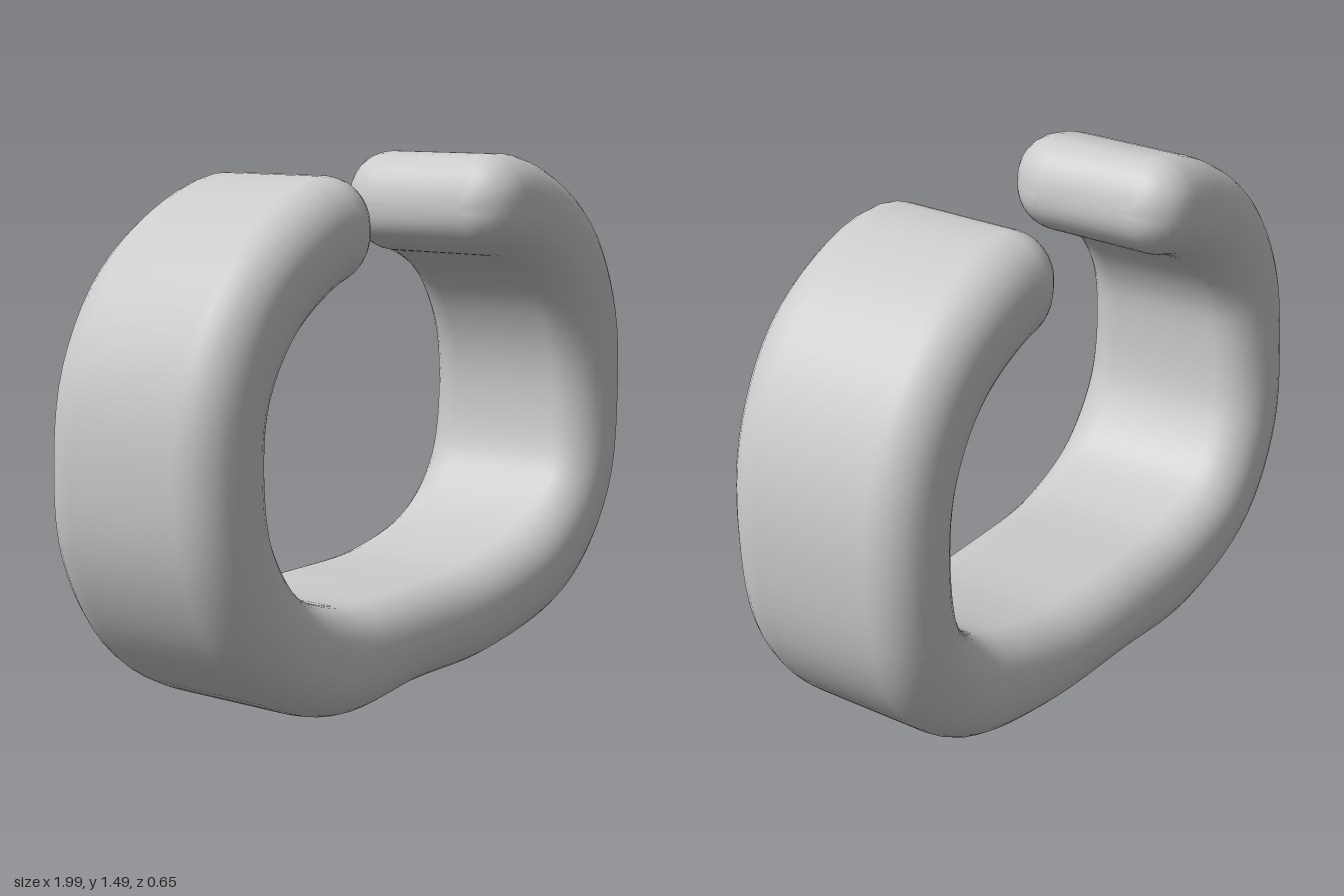
import * as THREE from 'three';

// Path stations along the open cuff: x, y, half thickness, front z, back z
const STATIONS = [
  [-0.27, 1.335, 0.14, 0.31, -0.265],
  [-0.45, 1.315, 0.145, 0.32, -0.27],
  [-0.70, 1.165, 0.145, 0.325, -0.28],
  [-0.825, 0.96, 0.14, 0.32, -0.29],
  [-0.85, 0.74, 0.14, 0.315, -0.30],
  [-0.81, 0.50, 0.14, 0.315, -0.32],
  [-0.66, 0.28, 0.145, 0.32, -0.325],
  [-0.40, 0.165, 0.15, 0.315, -0.31],
  [-0.05, 0.165, 0.135, 0.305, -0.31],
  [0.30, 0.18, 0.14, 0.305, -0.295],
  [0.63, 0.28, 0.145, 0.315, -0.295],
  [0.81, 0.48, 0.135, 0.32, -0.30],
  [0.86, 0.75, 0.135, 0.315, -0.30],
  [0.82, 1.00, 0.145, 0.32, -0.29],
  [0.68, 1.22, 0.15, 0.325, -0.29],
  [0.43, 1.35, 0.15, 0.32, -0.29],
  [0.24, 1.345, 0.14, 0.31, -0.28],
];
const CORNER = 0.13;
const ARC = 7; // segments per section corner

// Rounded-rectangle section, shrunk by an inset; returns [outward, z] pairs
function section(half, zFront, zBack, inset) {
  const r = CORNER - inset, pts = [];
  const a = half - CORNER, corners = [[a, zFront - CORNER], [-a, zFront - CORNER], [-a, zBack + CORNER], [a, zBack + CORNER]];
  corners.forEach(([cx, cz], k) => {
    for (let i = 0; i <= ARC; i++) {
      const t = (k + i / ARC) * Math.PI / 2;
      pts.push([cx + r * Math.cos(t), cz + r * Math.sin(t)]);
    }
  });
  return pts;
}

function cuffGeometry() {
  const path = new THREE.CatmullRomCurve3(STATIONS.map(s => new THREE.Vector3(s[0], s[1], 0)));
  const sizes = new THREE.CatmullRomCurve3(STATIONS.map(s => new THREE.Vector3(s[2], s[3], s[4])), false, 'catmullrom');
  path.arcLengthDivisions = 600;
  const length = path.getLength();

  // Distances along the path, packed closely where the ends round over
  const distances = [];
  for (let i = 0; i <= 8; i++) distances.push(CORNER * (1 - Math.cos(i / 8 * Math.PI / 2)));
  for (let i = 1; i < 90; i++) distances.push(CORNER + (length - 2 * CORNER) * i / 90);
  for (let i = 8; i >= 0; i--) distances.push(length - CORNER * (1 - Math.cos(i / 8 * Math.PI / 2)));

  const positions = [], index = [];
  const n = 4 * (ARC + 1);
  for (const d of distances) {
    const u = Math.min(1, Math.max(0, d / length));
    const p = path.getPointAt(u), tan = path.getTangentAt(u);
    const size = sizes.getPoint(path.getUtoTmapping(u));
    const gap = Math.max(0, CORNER - Math.min(d, length - d));
    const inset = CORNER - Math.sqrt(Math.max(0, CORNER * CORNER - gap * gap));
    for (const [o, z] of section(size.x, size.y, size.z, Math.min(inset, CORNER - 0.001)))
      positions.push(p.x + tan.y * o, p.y - tan.x * o, z);
  }
  const rings = distances.length;
  for (let i = 0; i < rings - 1; i++) {
    for (let j = 0; j < n; j++) {
      const a = i * n + j, b = i * n + (j + 1) % n;
      index.push(a, b, a + n, b, b + n, a + n);
    }
  }
  // Close the two tips
  const last = (rings - 1) * n;
  for (let j = 1; j < n - 1; j++) {
    index.push(0, j + 1, j);
    index.push(last, last + j, last + j + 1);
  }
  const geo = new THREE.BufferGeometry();
  geo.setAttribute('position', new THREE.Float32BufferAttribute(positions, 3));
  // Flip the winding if the solid came out inside-out
  let volume = 0;
  const v = k => new THREE.Vector3().fromArray(positions, 3 * k);
  for (let i = 0; i < index.length; i += 3) volume += v(index[i]).dot(v(index[i + 1]).cross(v(index[i + 2])));
  if (volume < 0) index.reverse();
  geo.setIndex(index);
  geo.computeVertexNormals();
  return geo;
}

export function createModel() {
  const group = new THREE.Group();
  group.name = 'openCuff';
  const band = new THREE.Mesh(cuffGeometry(), new THREE.MeshStandardMaterial({ color: 0xcccccc }));
  band.name = 'band';
  group.add(band);
  return group;
}
